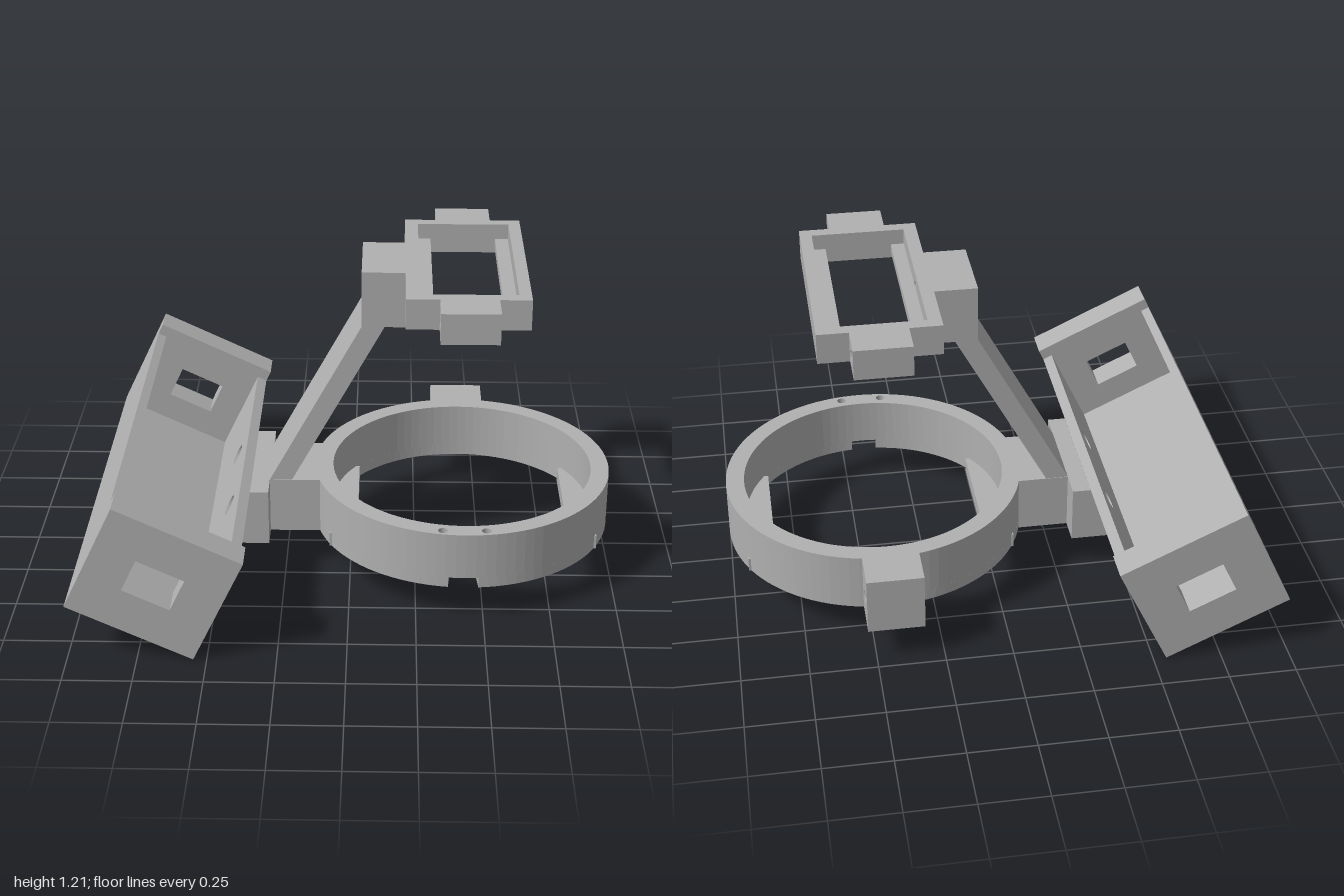
import * as THREE from 'three';

const grey = new THREE.MeshStandardMaterial({ color: 0xb0b0b0 });
grey.name = 'plain grey';

function add(parent, name, geometry) {
  const mesh = new THREE.Mesh(geometry, grey);
  mesh.name = name;
  parent.add(mesh);
  return mesh;
}

// Box given by its extents
function box(parent, name, x0, x1, y0, y1, z0, z1) {
  const g = new THREE.BoxGeometry(x1 - x0, y1 - y0, z1 - z0);
  g.translate((x0 + x1) / 2, (y0 + y1) / 2, (z0 + z1) / 2);
  return add(parent, name, g);
}

const polygon = (points) => new THREE.Shape(points.map(([x, y]) => new THREE.Vector2(x, y)));
const rect = (a0, a1, b0, b1) => polygon([[a0, b0], [a1, b0], [a1, b1], [a0, b1]]);
const hole = (a, b, r) => new THREE.Path().absarc(a, b, r, 0, Math.PI * 2, true);

function extrude(shape, depth) {
  return new THREE.ExtrudeGeometry(shape, { depth, bevelEnabled: false, curveSegments: 48 });
}

// Block with round holes [z, y, radius] drilled along x
function drilled(parent, name, x0, x1, y0, y1, z0, z1, holes) {
  const shape = rect(z0, z1, y0, y1);
  holes.forEach((h) => shape.holes.push(hole(...h)));
  const g = extrude(shape, x1 - x0);
  g.rotateY(-Math.PI / 2).translate(x1, 0, 0);
  return add(parent, name, g);
}

// Front profile extruded between two z positions
function prism(parent, name, shape, z0, z1) {
  return add(parent, name, extrude(shape, z1 - z0).translate(0, 0, z0));
}

// Tilted open tray with raised, windowed ends
function makeTray() {
  const tray = new THREE.Group();
  tray.name = 'tray';
  box(tray, 'trayFloor', -0.215, 0.21, -0.219, -0.174, -0.74, 0.74);
  box(tray, 'trayBackWall', -0.25, -0.215, -0.219, 0.174, -0.74, 0.74);
  drilled(tray, 'trayFrontWall', 0.21, 0.25, -0.219, 0.174, -0.74, 0.74,
    [[-0.21, 0.064, 0.04], [0.21, 0.064, 0.04]]);
  for (const z0 of [-0.86, 0.74]) {
    const end = rect(-0.25, 0.25, -0.219, 0.219);
    end.holes.push(rect(-0.093, 0.093, -0.066, 0.066));
    prism(tray, 'trayEnd', end, z0, z0 + 0.12);
  }
  tray.position.set(-0.68, 0.31, 0);
  tray.rotation.z = -25.5 * Math.PI / 180;
  return tray;
}

// Round holder: upper band, lower band with a gap at the front, ledges and lug
function makeRing() {
  const ring = new THREE.Group();
  ring.name = 'ringHolder';
  const R = 0.57, r = 0.5, front = -Math.PI / 2;
  const pins = () => [hole(-0.085, -0.535, 0.018), hole(0.075, -0.535, 0.018)];

  const upper = new THREE.Shape().absarc(0, 0, R, 0, Math.PI * 2);
  upper.holes.push(hole(0, 0, r), ...pins());

  const a0 = front + 0.085, a1 = front - 0.112 + Math.PI * 2;
  const lower = new THREE.Shape().absarc(0, 0, R, a0, a1).absarc(0, 0, r, a1, a0, true);
  lower.closePath();
  lower.holes.push(...pins());

  const band = (name, shape, y0, y1) =>
    add(ring, name, extrude(shape, y1 - y0).rotateX(-Math.PI / 2).translate(0, y0, 0));
  band('upperBand', upper, 0.18, 0.36);
  band('lowerBand', lower, 0.14, 0.18);

  for (const s of [-1, 1]) {
    const x = s * 0.455;
    box(ring, 'ringLedge', x - 0.053, x + 0.053, 0.14, 0.195, -0.275, 0.275);
  }
  drilled(ring, 'ringLug', -0.11, 0.1, 0.14, 0.36, -0.71, -0.55, [[-0.64, 0.245, 0.024]]);
  ring.position.x = 0.43;
  return ring;
}

// Upper rectangular frame with inner rails and drilled ears
function makeFrame() {
  const frame = new THREE.Group();
  frame.name = 'upperFrame';
  const y0 = 1.1, y1 = 1.215;
  drilled(frame, 'frameInnerSide', 0.2, 0.25, y0, y1, -0.405, 0.405, [[0, 1.16, 0.018]]);
  box(frame, 'frameOuterSide', 0.6, 0.645, y0, y1, -0.405, 0.405);
  for (const x of [0.25, 0.55]) box(frame, 'frameRail', x, x + 0.05, 1.12, 1.155, -0.357, 0.357);
  for (const s of [-1, 1]) {
    const [a, b] = s > 0 ? [0.357, 0.405] : [-0.405, -0.357];
    box(frame, 'frameEnd', 0.25, 0.6, y0, y1, a, b);
    const [c, d] = s > 0 ? [0.405, 0.535] : [-0.535, -0.405];
    drilled(frame, 'frameEar', 0.32, 0.53, y0, y1, c, d, [[s * 0.475, 1.16, 0.024]]);
  }
  return frame;
}

export function createModel() {
  const model = new THREE.Group();
  model.name = 'bracketAssembly';
  model.add(makeTray(), makeRing(), makeFrame());

  // Mounting plate against the tray, and the block reaching to the ring
  prism(model, 'mountPlate',
    polygon([[-0.482, 0.14], [-0.31, 0.14], [-0.31, 0.36], [-0.379, 0.36]]), -0.26, 0.26);
  box(model, 'armBase', -0.31, -0.1, 0.14, 0.36, -0.157, 0.157);

  // Leaning arm and the head that carries the frame
  prism(model, 'arm',
    polygon([[-0.31, 0.36], [-0.225, 0.36], [0.125, 1.0], [0.04, 1.0]]), -0.155, 0.155);
  drilled(model, 'armHead', 0.04, 0.205, 1.0, 1.1, -0.155, 0.155, [[0, 1.045, 0.018]]);
  drilled(model, 'armHeadTop', 0.04, 0.2, 1.1, 1.215, -0.155, 0.155, [[0, 1.16, 0.018]]);
  return model;
}
